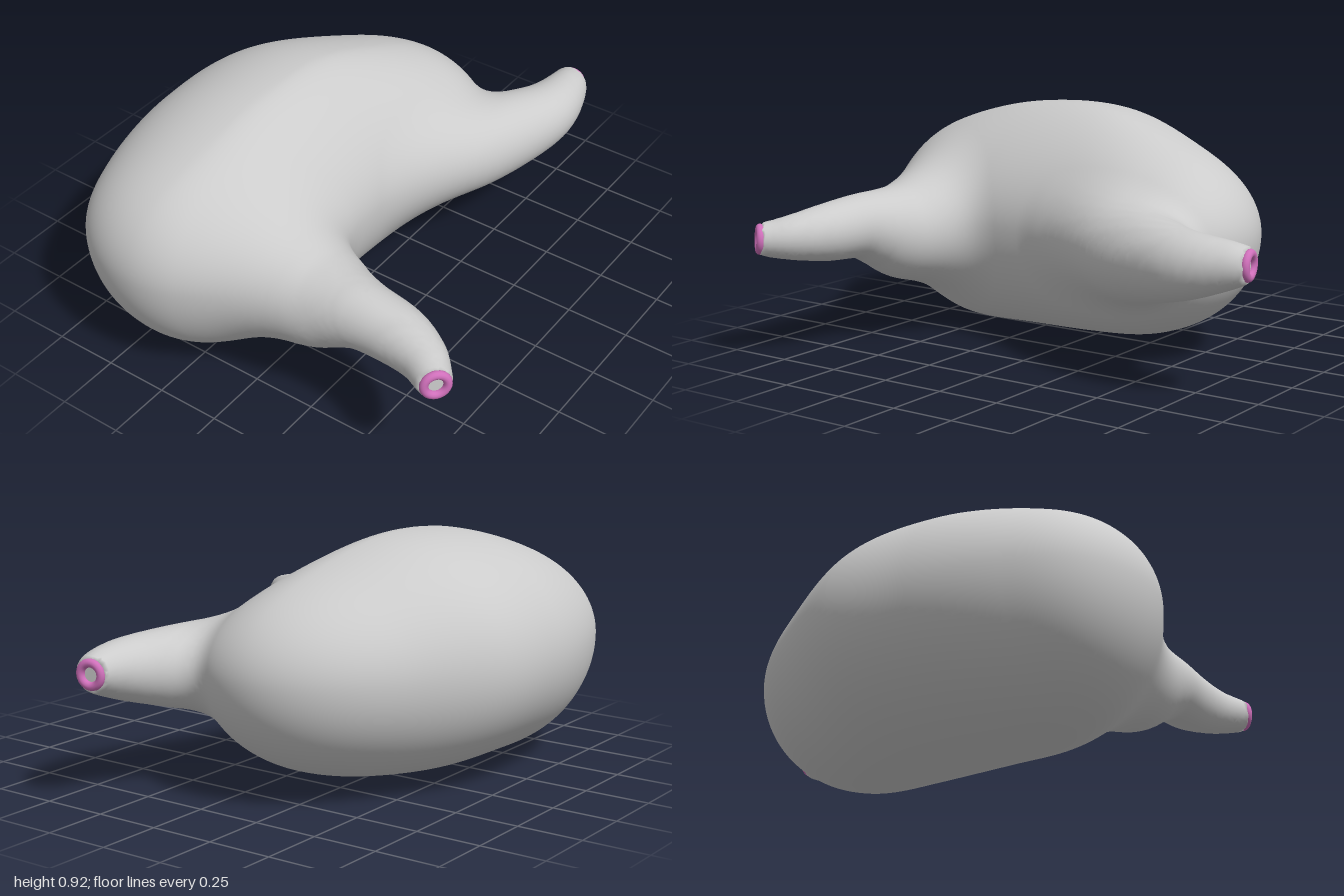
import * as THREE from 'three';

const grey = new THREE.MeshStandardMaterial({ color: 0xcccccc });
const pink = new THREE.MeshStandardMaterial({ color: 0xd070bb });

// Smoothly interpolates every column of a table, t = 0..1
function sample(rows, t) {
  const last = rows.length - 1;
  const f = t * last;
  const i = Math.min(Math.floor(f), last - 1);
  const s = f - i;
  const row = k => rows[Math.max(0, Math.min(last, k))];
  return rows[0].map((_, c) => {
    const [p0, p1, p2, p3] = [row(i - 1)[c], row(i)[c], row(i + 1)[c], row(i + 2)[c]];
    return p1 + 0.5 * s * (p2 - p0 + s * (2 * p0 - 5 * p1 + 4 * p2 - p3 + s * (3 * (p1 - p2) + p3 - p0)));
  });
}

// Egg-shaped body, evenly spaced along x: axis z, then back, front, top and bottom radii
const bodyRadii = [
  [-0.37, 0.64, 0.56, 0.5, 0.65],
  [-0.315, 0.6, 0.48, 0.457, 0.555],
  [-0.29, 0.578, 0.41, 0.455, 0.465],
  [-0.265, 0.575, 0.41, 0.455, 0.45],
  [-0.2, 0.55, 0.48, 0.428, 0.48],
  [-0.16, 0.58, 0.62, 0.44, 0.53],
];
const bodyX = -0.139, bodyHalf = 0.861, bodyY = 0.47;

function bodyDistance(x, y, z) {
  const u = (x - bodyX) / bodyHalf;
  const [axis, back, front, top, bottom] = sample(bodyRadii, (THREE.MathUtils.clamp(u, -1, 1) + 1) / 2);
  const rz = z > axis ? front : back;
  const w = (z - axis) / rz;
  // the upper front slopes in
  const pinch = w > 0 ? 1 - 0.3 * w * w / (0.3 + w) : 1;
  const ry = y > bodyY ? top * Math.max(pinch, 0.75) : bottom;
  const v = (y - bodyY) / ry;
  const n = Math.hypot(u, v, w);
  return n * (n - 1) / Math.max(Math.hypot(u / bodyHalf, v / ry, w / rz), 1e-4);
}

// Spout paths: x, y, z, radius, from inside the body to the tip
function createSpout(name, blend, path) {
  const balls = Array.from({ length: 70 }, (_, i) => sample(path, i / 69));
  const tip = new THREE.Vector3(...balls[69]);
  const direction = tip.clone().sub(new THREE.Vector3(...balls[66])).normalize();
  return { name, blend, balls, tip, direction };
}

const spouts = [
  createSpout('frontSpout', 0.16, [
    [-0.59, 0.44, -0.1, 0.22],
    [-0.6, 0.435, 0, 0.22],
    [-0.605, 0.43, 0.1, 0.211],
    [-0.615, 0.43, 0.2, 0.188],
    [-0.635, 0.453, 0.3, 0.154],
    [-0.655, 0.478, 0.42, 0.124],
    [-0.67, 0.478, 0.58, 0.109],
    [-0.71, 0.475, 0.7, 0.088],
    [-0.765, 0.473, 0.778, 0.069],
    [-0.798, 0.475, 0.818, 0.058],
  ]),
  createSpout('sideSpout', 0.09, [
    [0.1, 0.45, -0.04, 0.19],
    [0.25, 0.45, 0.05, 0.19],
    [0.4, 0.45, 0.145, 0.18],
    [0.55, 0.46, 0.228, 0.158],
    [0.7, 0.472, 0.296, 0.13],
    [0.8, 0.483, 0.316, 0.11],
    [0.9, 0.495, 0.312, 0.086],
    [0.95, 0.5, 0.302, 0.07],
    [0.984, 0.5, 0.296, 0.058],
  ]),
];

function spoutDistance({ balls, tip, direction }, x, y, z) {
  let d = Infinity;
  for (const [bx, by, bz, r] of balls) {
    d = Math.min(d, Math.sqrt((x - bx) ** 2 + (y - by) ** 2 + (z - bz) ** 2) - r);
  }
  // cut the end flat
  const past = (x - tip.x) * direction.x + (y - tip.y) * direction.y + (z - tip.z) * direction.z;
  return Math.max(d, past + 0.008);
}

// Signed distance to body and spouts, melted together
function field(x, y, z) {
  let d = bodyDistance(x, y, z);
  for (const spout of spouts) {
    const s = spoutDistance(spout, x, y, z);
    const h = Math.max(spout.blend - Math.abs(d - s), 0) / spout.blend;
    d = Math.min(d, s) - h * h * spout.blend / 4;
  }
  return d;
}

function gradient(x, y, z) {
  const e = 0.004;
  return new THREE.Vector3(
    field(x + e, y, z) - field(x - e, y, z),
    field(x, y + e, z) - field(x, y - e, z),
    field(x, y, z + e) - field(x, y, z - e),
  ).divideScalar(2 * e);
}

// Skins the zero level of the field with quads on a regular grid
function createSkin() {
  const cell = 0.022, start = [-1.06, -0.06, -0.93], size = [97, 50, 83];
  const stride = [size[1] * size[2], size[2], 1];
  const values = new Float32Array(size[0] * stride[0]);
  const eachNode = (first, visit) => {
    for (let i = first; i < size[0] - first; i++)
      for (let j = first; j < size[1] - first; j++)
        for (let k = first; k < size[2] - first; k++)
          visit(i * stride[0] + j * stride[1] + k, [i, j, k].map((n, a) => start[a] + n * cell));
  };
  eachNode(0, (id, p) => { values[id] = field(...p); });

  const corners = new Map(), indices = [];
  const addTo = (id, p) => {
    if (!corners.has(id)) corners.set(id, { index: corners.size, sum: new THREE.Vector3(), count: 0 });
    const corner = corners.get(id);
    corner.sum.add(p);
    corner.count++;
    return corner.index;
  };
  eachNode(1, (id, p) => {
    for (let axis = 0; axis < 3; axis++) {
      const a = values[id], b = values[id + stride[axis]];
      if ((a < 0) === (b < 0)) continue;
      const crossing = new THREE.Vector3(...p);
      crossing.setComponent(axis, p[axis] + cell * a / (a - b));
      const u = stride[(axis + 1) % 3], v = stride[(axis + 2) % 3];
      const quad = [id, id - u, id - u - v, id - v].map(c => addTo(c, crossing));
      if (a >= 0) quad.reverse();
      indices.push(quad[0], quad[1], quad[2], quad[0], quad[2], quad[3]);
    }
  });

  // settle each corner on the surface and take its smooth normal there
  const positions = [], normals = [];
  for (const { sum, count } of corners.values()) {
    const p = sum.divideScalar(count);
    for (let n = 0; n < 2; n++) {
      const g = gradient(...p);
      p.addScaledVector(g, -field(...p) / Math.max(g.lengthSq(), 0.3));
    }
    positions.push(...p);
    normals.push(...gradient(...p).normalize());
  }
  const geometry = new THREE.BufferGeometry();
  geometry.setAttribute('position', new THREE.Float32BufferAttribute(positions, 3));
  geometry.setAttribute('normal', new THREE.Float32BufferAttribute(normals, 3));
  geometry.setIndex(indices);
  const mesh = new THREE.Mesh(geometry, grey);
  mesh.name = 'bodyWithSpouts';
  return mesh;
}

export function createModel() {
  const model = new THREE.Group();
  model.name = 'hollowOrgan';
  model.add(createSkin());
  // coloured rim around each opening
  for (const { name, tip, direction } of spouts) {
    const rim = new THREE.Mesh(new THREE.TorusGeometry(0.042, 0.016, 14, 36), pink);
    rim.name = name + 'Rim';
    rim.position.copy(tip).addScaledVector(direction, -0.006);
    rim.quaternion.setFromUnitVectors(new THREE.Vector3(0, 0, 1), direction);
    model.add(rim);
  }
  return model;
}
